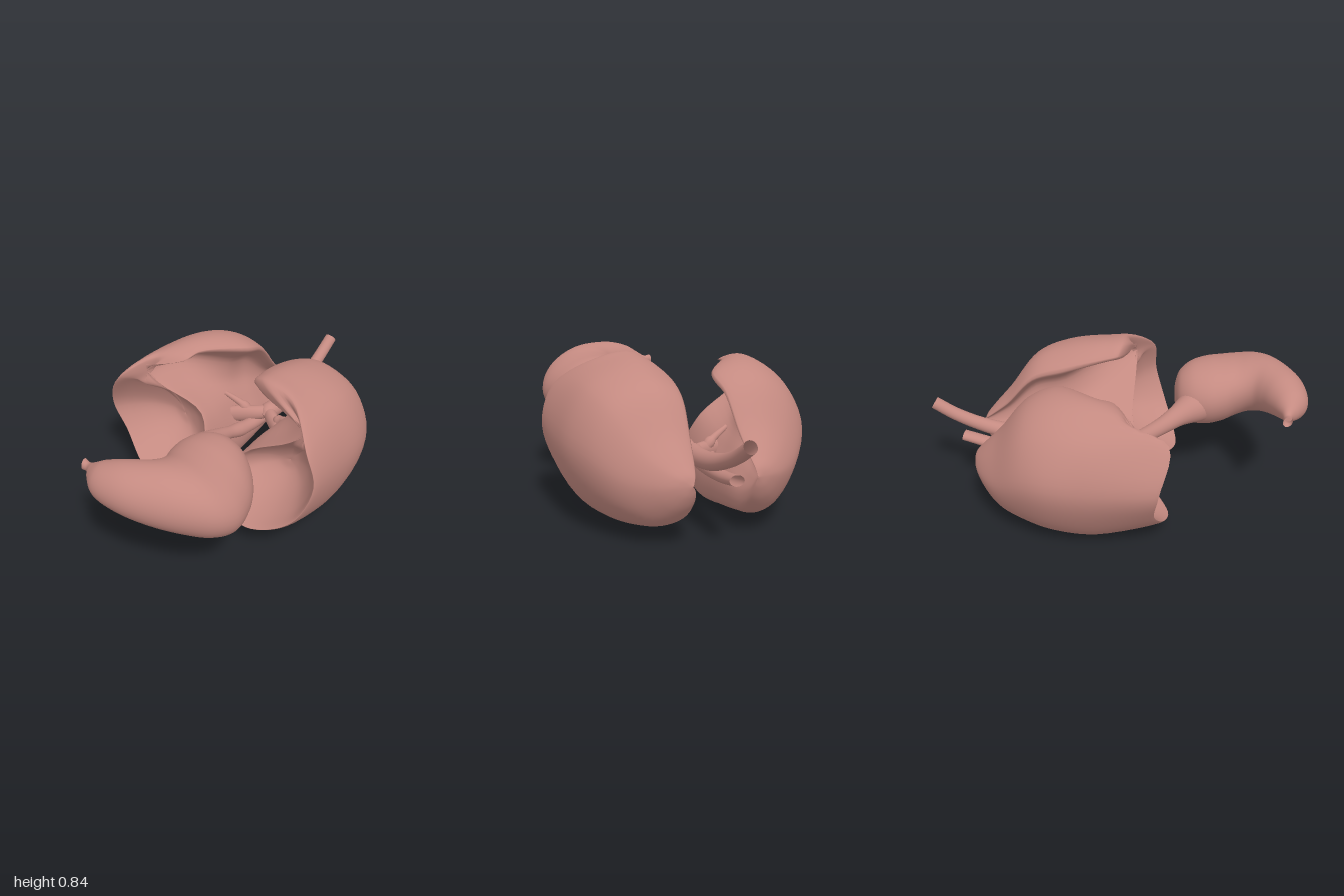
import * as THREE from 'three';

const V = (x, y, z) => new THREE.Vector3(x, y, z);

// Skin a grid of closed rings, wound counter-clockwise about the direction of travel
function skin(rows) {
  const n = rows[0].length, pos = [], index = [];
  rows.forEach(row => row.forEach(p => pos.push(p.x, p.y, p.z)));
  for (let r = 0; r < rows.length - 1; r++) {
    for (let i = 0; i < n; i++) {
      const a = r * n + i, b = r * n + (i + 1) % n;
      index.push(a, b, a + n, b, b + n, a + n);
    }
  }
  const g = new THREE.BufferGeometry();
  g.setAttribute('position', new THREE.Float32BufferAttribute(pos, 3));
  g.setIndex(index);
  g.computeVertexNormals();
  return g;
}

// Elliptical ring from a centre and two half-axis vectors
function ellipse(center, side, up, sides) {
  return Array.from({ length: sides }, (_, i) => {
    const a = i / sides * Math.PI * 2;
    return center.clone().addScaledVector(side, Math.cos(a)).addScaledVector(up, Math.sin(a));
  });
}

// Tube of changing elliptical section; stations are [x, y, z, half width, half height]
function organTube(stations, steps = 40, sides = 28) {
  const path = new THREE.CatmullRomCurve3(stations.map(s => V(s[0], s[1], s[2])));
  const size = new THREE.CatmullRomCurve3(stations.map(s => V(s[3], s[4] ?? s[3], 0)));
  const rows = [];
  for (let k = 0; k <= steps; k++) {
    const t = path.getTangent(k / steps), r = size.getPoint(k / steps);
    const side = V(0, 1, 0).cross(t).normalize(), up = t.clone().cross(side);
    rows.push(ellipse(path.getPoint(k / steps),
      side.multiplyScalar(Math.max(r.x, 0)), up.multiplyScalar(Math.max(r.y, 0)), sides));
  }
  return skin(rows);
}

// Curved sac between its inner and outer curvature;
// stations are [inner x, y, z, outer x, y, z, half height]
function curvedSac(stations, steps = 84, sides = 40) {
  const inner = new THREE.CatmullRomCurve3(stations.map(s => V(s[0], s[1], s[2])));
  const outer = new THREE.CatmullRomCurve3(stations.map(s => V(s[3], s[4], s[5])));
  const height = new THREE.CatmullRomCurve3(stations.map((s, i) => V(i * 0.1, s[6], 0)));
  const rows = [];
  for (let k = 0; k <= steps; k++) {
    const a = inner.getPoint(k / steps), b = outer.getPoint(k / steps);
    const center = a.clone().lerp(b, 0.5);
    rows.push(ellipse(center, b.sub(center), V(0, height.getPoint(k / steps).y, 0), sides));
  }
  return skin(rows);
}

// Lung: hilum section scaled up to the apex, then heart section, base rim and hollow base.
// Section order: front edge (0-2), outer side, back, inner side, ridge (11), heart hollow (12).
function lung({ hilum, heart, rim, pivotX, dome, apexZ, flip }) {
  const loops = [];
  // distance from apex, width scale, height scale, height of the scaling centre
  const rise = [[0, 0.01, 0.01, 0.33], [0.015, 0.17, 0.14, 0.31], [0.055, 0.34, 0.3, 0.27],
    [0.15, 0.59, 0.56, 0.2], [0.3, 0.86, 0.87, 0.25]];
  for (const [dz, sx, sy, py] of rise) {
    loops.push(hilum.map(([x, y]) =>
      V(pivotX + (x - pivotX) * sx, py + (y - py) * sy, apexZ + dz)));
  }
  loops.push(hilum.map(([x, y]) => V(x, y, -0.3)));
  loops.push(heart.map(([x, y]) => V(x, y, -0.08)));
  const edge = rim.map(p => V(...p));
  loops.push(edge);
  // the thin front sheet closes onto the heart hollow
  loops.push(edge.map((p, i) => (i < 3 ? edge[12] : p).clone().lerp(V(...dome), 0.03)));
  // the base then sinks in, bounded by the line from ridge to outer side
  const share = [0.4, 0.6, 0.8];
  share[12] = 0.2;
  const inner = edge.map((p, i) => (share[i] ? edge[11].clone().lerp(edge[3], share[i]) : p));
  for (const [f, depth] of [[0.16, 0.3], [0.45, 0.72], [0.75, 0.95], [0.99, 1]]) {
    loops.push(inner.map(p => V(
      p.x + (dome[0] - p.x) * f, p.y + (dome[1] - p.y) * f, p.z + (dome[2] - p.z) * depth)));
  }
  // smooth around each ring, then along the lung
  const around = 65, along = 6;
  const rings = loops.map(l => {
    const c = new THREE.CatmullRomCurve3(l, true);
    return Array.from({ length: around }, (_, i) => c.getPoint(i / around));
  });
  const steps = (rings.length - 1) * along;
  const columns = rings[0].map((_, i) => new THREE.CatmullRomCurve3(rings.map(r => r[i])));
  const rows = [];
  for (let k = 0; k <= steps; k++) {
    const row = columns.map(c => c.getPoint(k / steps));
    rows.push(flip ? row.reverse() : row);
  }
  return skin(rows);
}

export function createModel() {
  const group = new THREE.Group();
  const tissue = new THREE.MeshStandardMaterial({ color: 0xc48a81, side: THREE.DoubleSide });
  tissue.name = 'tissue pink';
  const add = (name, geometry) => {
    const m = new THREE.Mesh(geometry, tissue);
    m.name = name;
    group.add(m);
  };

  add('rightLung', lung({
    pivotX: -0.165, dome: [-0.36, 0.36, -0.04], apexZ: -0.745, flip: false,
    hilum: [[-0.115, 0.74], [-0.24, 0.79], [-0.39, 0.77], [-0.54, 0.66], [-0.63, 0.46],
      [-0.57, 0.25], [-0.43, 0.07], [-0.27, 0.02], [-0.14, 0.08], [-0.12, 0.23],
      [-0.19, 0.38], [-0.26, 0.5], [-0.25, 0.63]],
    heart: [[-0.27, 0.77], [-0.33, 0.8], [-0.42, 0.79], [-0.57, 0.68], [-0.65, 0.46],
      [-0.59, 0.26], [-0.43, 0.05], [-0.27, 0], [-0.14, 0.05], [-0.11, 0.21],
      [-0.18, 0.43], [-0.36, 0.56], [-0.45, 0.69]],
    rim: [[-0.29, 0.76, 0.01], [-0.37, 0.77, 0.04], [-0.46, 0.75, 0.09], [-0.54, 0.69, 0.28],
      [-0.645, 0.47, 0.24], [-0.575, 0.3, 0.22], [-0.43, 0.16, 0.27], [-0.29, 0.11, 0.29],
      [-0.16, 0.14, 0.22], [-0.12, 0.25, 0.12], [-0.19, 0.46, 0.02], [-0.42, 0.6, 0.09],
      [-0.48, 0.69, 0.13]],
  }));

  add('leftLung', lung({
    pivotX: 0.17, dome: [0.36, 0.37, -0.04], apexZ: -0.768, flip: true,
    hilum: [[0.09, 0.72], [0.22, 0.79], [0.38, 0.77], [0.53, 0.68], [0.63, 0.45],
      [0.58, 0.22], [0.45, 0.07], [0.3, 0.03], [0.14, 0.08], [0.075, 0.22],
      [0.13, 0.38], [0.21, 0.5], [0.22, 0.62]],
    heart: [[0.12, 0.77], [0.21, 0.83], [0.36, 0.81], [0.55, 0.7], [0.65, 0.46],
      [0.6, 0.21], [0.47, 0.06], [0.3, 0.02], [0.14, 0.07], [0.06, 0.21],
      [0.12, 0.38], [0.34, 0.54], [0.42, 0.68]],
    rim: [[0.15, 0.78, 0], [0.23, 0.83, 0.025], [0.4, 0.8, 0.035], [0.59, 0.65, 0.18],
      [0.65, 0.47, 0.19], [0.595, 0.28, 0.25], [0.47, 0.18, 0.3], [0.31, 0.14, 0.32],
      [0.16, 0.18, 0.24], [0.09, 0.26, 0.14], [0.14, 0.38, 0.08], [0.43, 0.58, 0.08],
      [0.51, 0.67, 0.08]],
  }));

  // Airway
  add('trachea', organTube([
    [0, 0.555, -0.985, 0.033], [0, 0.49, -0.88, 0.034], [0.005, 0.43, -0.75, 0.037],
    [0.01, 0.385, -0.6, 0.045], [0.01, 0.365, -0.45, 0.047], [0, 0.36, -0.35, 0.05],
    [0, 0.36, -0.31, 0.03], [0, 0.36, -0.295, 0]]));
  add('rightBronchus', organTube([
    [0.01, 0.36, -0.36, 0.035], [-0.06, 0.35, -0.3, 0.036, 0.045],
    [-0.14, 0.34, -0.25, 0.034, 0.05], [-0.24, 0.33, -0.19, 0.03]], 20, 18));
  add('leftBronchus', organTube([
    [-0.01, 0.36, -0.36, 0.035], [0.05, 0.35, -0.31, 0.036, 0.045],
    [0.11, 0.34, -0.27, 0.036, 0.05], [0.2, 0.34, -0.2, 0.03]], 20, 18));
  for (const s of [-1, 1]) {
    for (const y of [0.27, 0.45]) {
      add('bronchialBranch', organTube([
        [s * 0.08, 0.35, -0.29, 0.02], [s * 0.14, (y + 0.35) / 2, -0.27, 0.02],
        [s * 0.23, y, -0.24, 0.012]], 12, 12));
    }
  }

  // Gullet, widening into the stomach
  add('esophagus', organTube([
    [-0.01, 0.36, -0.84, 0.036, 0.026], [-0.03, 0.32, -0.65, 0.036, 0.03],
    [-0.05, 0.295, -0.4, 0.036], [-0.065, 0.3, -0.2, 0.038], [-0.07, 0.35, -0.03, 0.038],
    [-0.055, 0.42, 0.13, 0.04], [-0.02, 0.475, 0.24, 0.045], [0.03, 0.51, 0.32, 0.058],
    [0.085, 0.53, 0.39, 0.085], [0.14, 0.54, 0.46, 0.1]]));
  add('stomach', curvedSac([
    [0.21, 0.55, 0.3, 0.215, 0.55, 0.3, 0.002],
    [0.17, 0.55, 0.306, 0.26, 0.55, 0.302, 0.055],
    [0.1, 0.55, 0.33, 0.345, 0.55, 0.325, 0.12],
    [0.05, 0.555, 0.39, 0.425, 0.545, 0.385, 0.165],
    [0.03, 0.565, 0.48, 0.49, 0.535, 0.465, 0.183],
    [0.05, 0.58, 0.57, 0.53, 0.525, 0.555, 0.183],
    [0.08, 0.6, 0.63, 0.545, 0.525, 0.645, 0.178],
    [0.09, 0.62, 0.68, 0.515, 0.55, 0.745, 0.17],
    [0.08, 0.63, 0.715, 0.42, 0.585, 0.845, 0.158],
    [0.04, 0.64, 0.75, 0.28, 0.61, 0.93, 0.14],
    [-0.01, 0.645, 0.78, 0.12, 0.63, 0.985, 0.118],
    [-0.07, 0.645, 0.815, -0.03, 0.635, 0.985, 0.085],
    [-0.125, 0.64, 0.843, -0.11, 0.635, 0.935, 0.046],
    [-0.165, 0.635, 0.849, -0.155, 0.635, 0.893, 0.024],
    [-0.2, 0.635, 0.842, -0.188, 0.635, 0.892, 0.028]]));

  return group;
}
